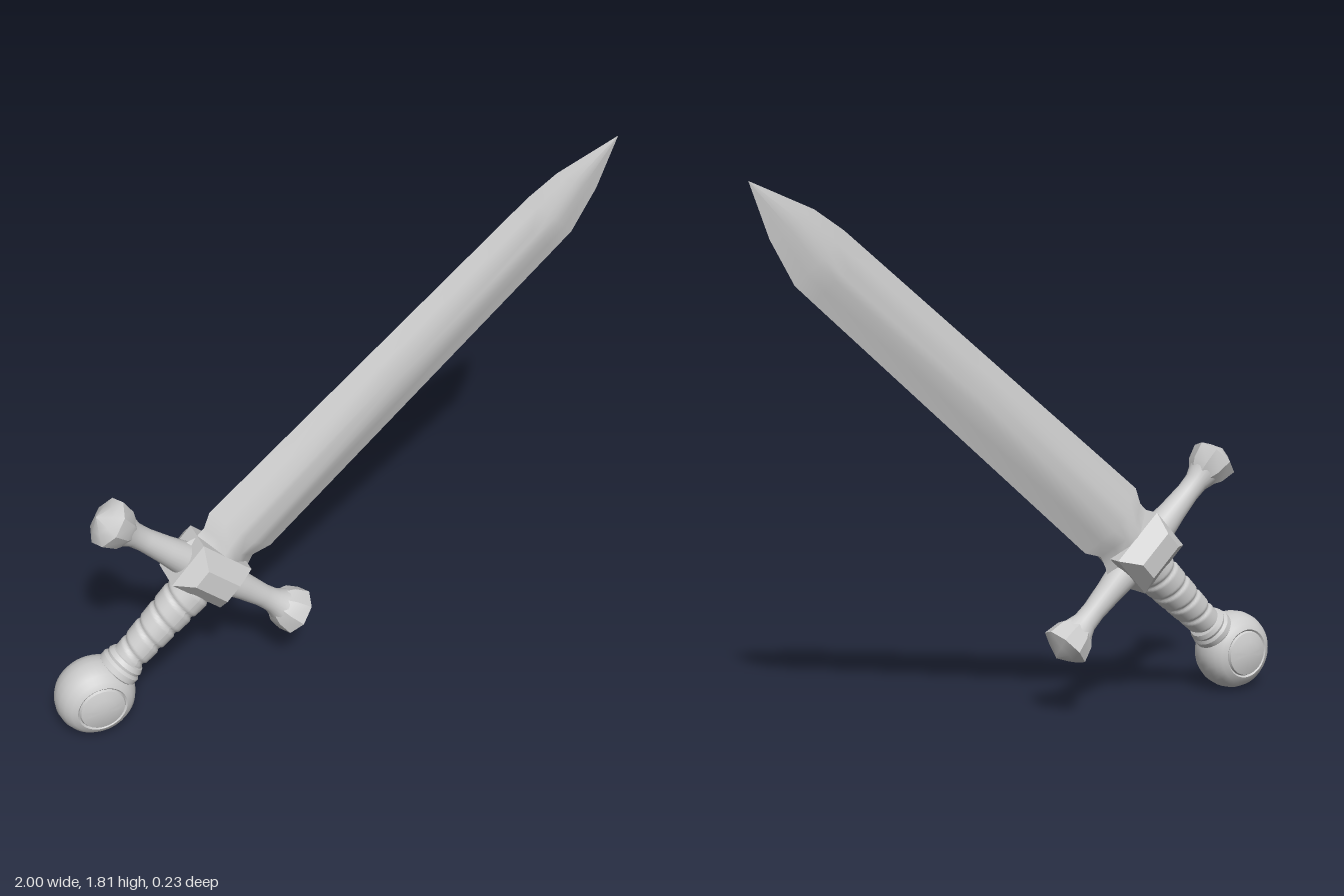
import * as THREE from 'three';
import { toCreasedNormals } from 'three/addons/utils/BufferGeometryUtils.js';

const grey = new THREE.MeshStandardMaterial({ color: 0xcccccc });
const thin = new THREE.MeshStandardMaterial({ color: 0xcccccc, side: THREE.DoubleSide });
const V = (x, y) => new THREE.Vector2(x, y);
const deg = Math.PI / 180;

function part(name, geometry, parent, material = grey) {
  const mesh = new THREE.Mesh(geometry, material);
  mesh.name = name;
  parent.add(mesh);
  return mesh;
}

// Puts a group at (x, y) with its local +y pointing along the given angle
function axisGroup(name, x, y, angle, parent) {
  const g = new THREE.Group();
  g.name = name;
  g.position.set(x, y, 0);
  g.rotation.z = (angle - 90) * deg;
  parent.add(g);
  return g;
}

const lathe = (pts, sides, crease) =>
  toCreasedNormals(new THREE.LatheGeometry(pts.map(p => V(p[0], p[1])), sides), crease);

// One face of the blade: cross-sections between the lower and upper edge
function bladeSide(sign) {
  // lower edge x, y, upper edge x, y, half thickness, fuller depth
  const sections = [
    [-0.32, 0.45, -0.53, 0.66, 0.062, 0],
    [-0.305, 0.5, -0.48, 0.675, 0.062, 0],
    [-0.285, 0.54, -0.45, 0.705, 0.06, 0.1],
    [-0.22, 0.56, -0.43, 0.76, 0.058, 0.18],
    [0.315, 1.03, 0.125, 1.21, 0.043, 0.18],
    [0.79, 1.447, 0.617, 1.609, 0.029, 0.18],
    [0.85, 1.5, 0.68, 1.66, 0.027, 0],
    [0.93, 1.64, 0.78, 1.725, 0.018, 0],
    [0.995, 1.812, 0.995, 1.812, 0, 0],
  ];
  const across = [[0, 0], [0.2, 0.5], [0.38, 0.97], [0.5, 1], [0.62, 0.97], [0.8, 0.5], [1, 0]];
  const pos = [], index = [], n = across.length;
  sections.forEach(([x0, y0, x1, y1, t, fuller], i) => {
    across.forEach(([s, h], j) => {
      const z = t * (h - (j === 3 ? fuller : 0));
      pos.push(x0 + (x1 - x0) * s, y0 + (y1 - y0) * s, sign * z);
      if (i && j) {
        const a = (i - 1) * n + j - 1, b = i * n + j - 1;
        if (sign > 0) index.push(a, b, b + 1, a, b + 1, a + 1);
        else index.push(a, b + 1, b, a, a + 1, b + 1);
      }
    });
  });
  const g = new THREE.BufferGeometry();
  g.setAttribute('position', new THREE.Float32BufferAttribute(pos, 3));
  g.setIndex(index);
  g.computeVertexNormals();
  return g;
}

// Tapered grip with a spiral groove left by the wrapping
function gripGeometry() {
  const len = 0.42, g = new THREE.CylinderGeometry(1, 1, len, 32, 90, true);
  const p = g.attributes.position;
  for (let i = 0; i < p.count; i++) {
    const t = p.getY(i) / len + 0.5;
    const a = Math.atan2(p.getX(i), p.getZ(i));
    const turn = t * 5.5 + a / (2 * Math.PI);
    const f = turn - Math.floor(turn);
    const groove = Math.min(1, Math.min(f, 1 - f) / 0.16);
    const r = 0.053 + 0.03 * t - 0.009 * (1 - groove);
    p.setXYZ(i, Math.sin(a) * r, p.getY(i), Math.cos(a) * r * (1 - 0.12 * t));
  }
  g.computeVertexNormals();
  return g;
}

// Guard block: a box whose front and back taper to small raised faces
function blockGeometry() {
  const g = new THREE.BoxGeometry(0.17, 0.22, 0.23, 1, 1, 3);
  const p = g.attributes.position;
  for (let i = 0; i < p.count; i++) {
    const z = p.getZ(i);
    if (Math.abs(z) < 0.1) p.setZ(i, Math.sign(z) * 0.06);
    else p.setXY(i, p.getX(i) * 0.4, p.getY(i) * 0.65);
  }
  return toCreasedNormals(g, 0.5);
}

export function createModel() {
  const root = new THREE.Group();
  root.name = 'sword';

  const blade = new THREE.Group();
  blade.name = 'blade';
  root.add(blade);
  part('bladeFront', bladeSide(1), blade, thin);
  part('bladeBack', bladeSide(-1), blade, thin);

  // Cross-guard: centre block and two mirrored arms with faceted knobs
  const guard = axisGroup('crossGuard', -0.455, 0.54, 137.5, root);
  part('guardBlock', blockGeometry(), guard).position.x = 0.005;
  const armGeo = new THREE.LatheGeometry(
    [[0.06, 0], [0.056, 0.1], [0.046, 0.18], [0.039, 0.27], [0.041, 0.32], [0.055, 0.36]].map(p => V(...p)), 24);
  const knobGeo = lathe(
    [[0.045, 0.34], [0.07, 0.375], [0.084, 0.43], [0.05, 0.452], [0, 0.478]], 8, 0.5);
  for (const side of [0, 1]) {
    const arm = new THREE.Group();
    arm.name = side ? 'lowerArm' : 'upperArm';
    arm.rotation.z = side * Math.PI;
    part('armShaft', armGeo, arm);
    part('armKnob', knobGeo, arm);
    guard.add(arm);
  }

  // Grip with a collar next to the pommel
  const handle = axisGroup('handle', -0.863, 0.138, 42.8, root);
  part('grip', gripGeometry(), handle).position.y = 0.33;
  part('collar', lathe(
    [[0.06, 0.1], [0.074, 0.115], [0.074, 0.135], [0.066, 0.145], [0.069, 0.155], [0.062, 0.17], [0.05, 0.175]],
    32, 0.6), handle);

  // Flattened round pommel with a raised disc on each face
  const half = [[0, 0.1], [0.045, 0.097], [0.076, 0.087], [0.08, 0.079], [0.086, 0.084],
    [0.105, 0.074], [0.122, 0.055], [0.133, 0.03]];
  const profile = [
    ...half.map(([r, z]) => [r, -z]), [0.137, 0], ...half.slice().reverse(),
  ];
  const pommel = part('pommel', lathe(profile, 40, 0.7), root);
  pommel.position.set(-0.863, 0.138, 0);
  pommel.rotation.x = Math.PI / 2;

  return root;
}
